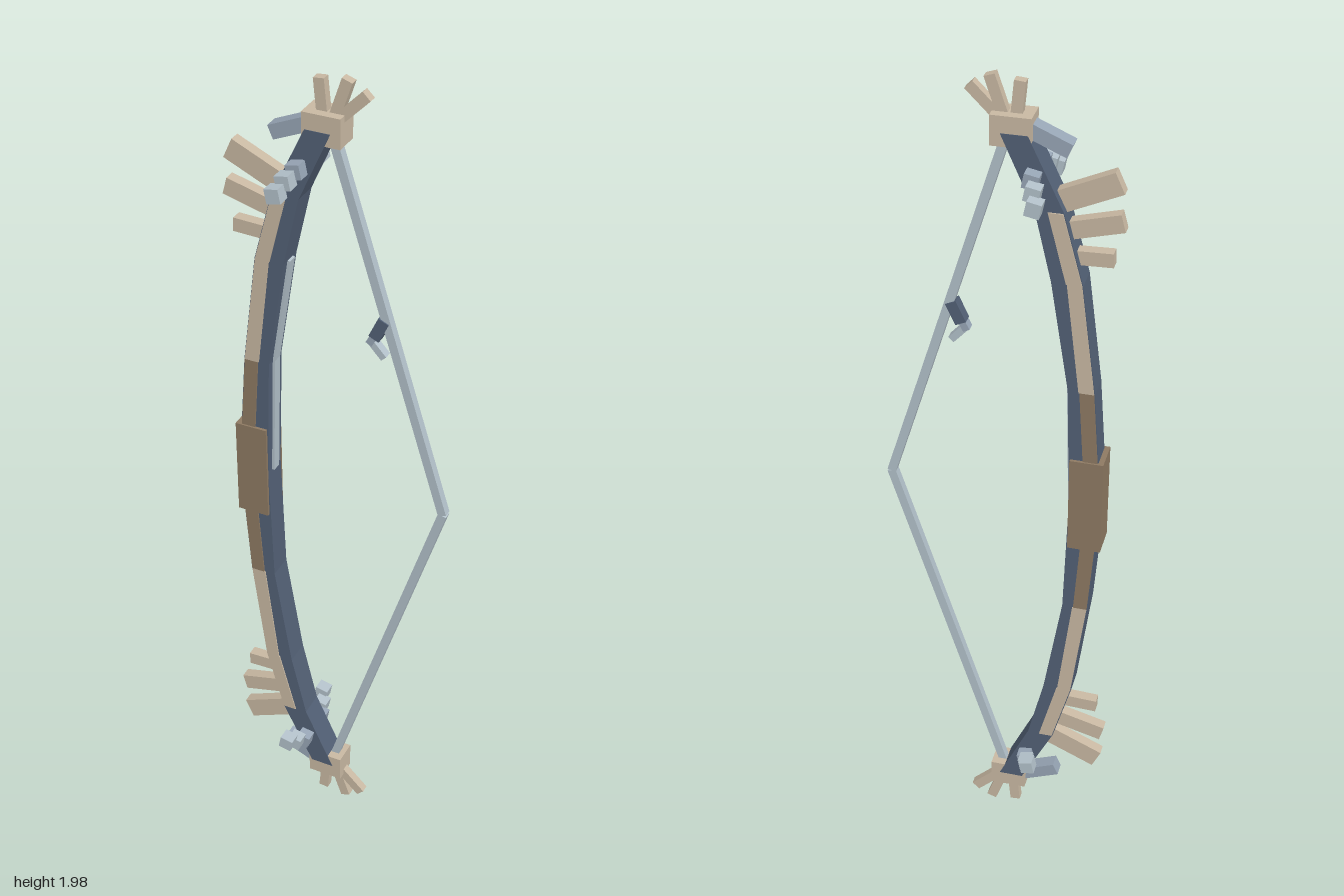
import * as THREE from 'three';

const mat = (name, color) => {
  const m = new THREE.MeshStandardMaterial({ color });
  m.name = name;
  return m;
};

export function createModel() {
  const bow = new THREE.Group();
  bow.name = 'bow';
  const bone = mat('bone', 0xc9b9a3);
  const leather = mat('leather', 0x8e7a63);
  const steel = mat('darkSteel', 0x536176);
  const pale = mat('paleGrey', 0xb3c1ca);
  const slate = mat('slate', 0x98a6b6);

  const add = (name, geo, material, parent) => {
    const m = new THREE.Mesh(geo, material);
    m.name = name;
    parent.add(m);
    return m;
  };
  const box = (name, x, y, z, w, h, d, material, parent) => {
    const m = add(name, new THREE.BoxGeometry(w, h, d), material, parent);
    m.position.set(x, y, z);
    return m;
  };
  // straight bar between two points of the xy plane
  const bar = (name, a, b, w, d, material, parent) => {
    const dx = b[0] - a[0], dy = b[1] - a[1];
    const m = box(name, (a[0] + b[0]) / 2, (a[1] + b[1]) / 2, 0, Math.hypot(dx, dy), w, d, material, parent);
    m.rotation.z = Math.atan2(dy, dx);
    return m;
  };
  // flat outline extruded evenly to both sides of z = 0
  const slab = (name, pts, d, material, parent) => {
    const shape = new THREE.Shape(pts.map(p => new THREE.Vector2(p[0], p[1])));
    const geo = new THREE.ExtrudeGeometry(shape, { depth: d, bevelEnabled: false });
    return add(name, geo.translate(0, 0, -d / 2), material, parent);
  };

  // outer x, inner x, height along the upper limb
  const limb = [
    [-0.24, -0.167, 1.0], [-0.218, -0.158, 1.3], [-0.185, -0.117, 1.56],
    [-0.142, -0.08, 1.72], [-0.065, -0.008, 1.88],
  ];

  box('grip', -0.205, 1.003, 0, 0.076, 0.24, 0.076, leather, bow);

  for (const s of [1, -1]) {
    const half = new THREE.Group();
    half.name = s > 0 ? 'upperHalf' : 'lowerHalf';
    bow.add(half);
    const Y = y => 1.003 + s * (y - 1.003);
    const P = (x, y) => [x, Y(y)];

    // limb core
    slab('limbCore', [...limb.map(p => P(p[0], p[2])),
      ...limb.slice().reverse().map(p => P(p[1], p[2]))], 0.062, steel, half);

    // coloured facing along the outer edge of both sides
    for (let i = 0; i < 3; i++) {
      const a = limb[i], b = limb[i + 1];
      slab('limbFacing', [P(a[0] + 0.002, a[2]), P(b[0] + 0.002, b[2]),
        P(b[0] + 0.034, b[2]), P(a[0] + 0.036, a[2])], 0.068, i === 0 ? leather : bone, half);
    }
    // pale rib on the upper inner edge
    if (s > 0) {
      for (let i = 0; i < 2; i++) {
        const a = limb[i], b = limb[i + 1];
        bar('innerRib', [a[1], a[2]], [b[1], b[2]], 0.012, 0.024, pale, half);
      }
    }

    // tip block with its spikes
    box('tipBlock', -0.029, Y(1.884), 0, 0.086, 0.066, 0.06, bone, half);
    bar('tipSpike', P(-0.035, 1.9), P(-0.043, 1.985), 0.024, 0.02, bone, half);
    bar('tipSpike', P(-0.012, 1.9), P(0.019, 1.991), 0.024, 0.02, bone, half);
    bar('tipSpike', P(0.005, 1.91), P(0.061, 1.966), 0.024, 0.02, bone, half);
    bar('outerSpike', P(-0.05, 1.892), P(-0.148, 1.85), 0.032, 0.034, slate, half);

    // fan of fins on the outer edge
    bar('fin', P(-0.25, 1.792), P(-0.11, 1.728), 0.05, 0.026, bone, half);
    bar('fin', P(-0.26, 1.704), P(-0.13, 1.669), 0.04, 0.026, bone, half);
    bar('fin', P(-0.243, 1.617), P(-0.14, 1.613), 0.032, 0.026, bone, half);

    // stepped hooks reaching out to both sides
    for (const k of [1, -1]) {
      const steps = [[-0.077, 1.795, 0.044], [-0.087, 1.782, 0.073], [-0.096, 1.764, 0.1]];
      steps.forEach(([x, y, z], i) => {
        const m = box('hookStep', x, Y(y), k * z, 0.032, 0.032, 0.031, i < 1 ? slate : pale, half);
        m.rotation.z = s * 0.2;
      });
    }

    // string
    bar('string', P(-0.015, 1.868), P(0.253, 1.003), 0.02, 0.02, pale, half);
  }

  // charm tied to the upper string
  bar('charmKnot', [0.105, 1.468], [0.083, 1.42], 0.026, 0.026, steel, bow);
  bar('charmTail', [0.09, 1.44], [0.071, 1.403], 0.016, 0.022, slate, bow);
  bar('charmTail', [0.071, 1.413], [0.106, 1.375], 0.016, 0.02, pale, bow);

  return bow;
}
